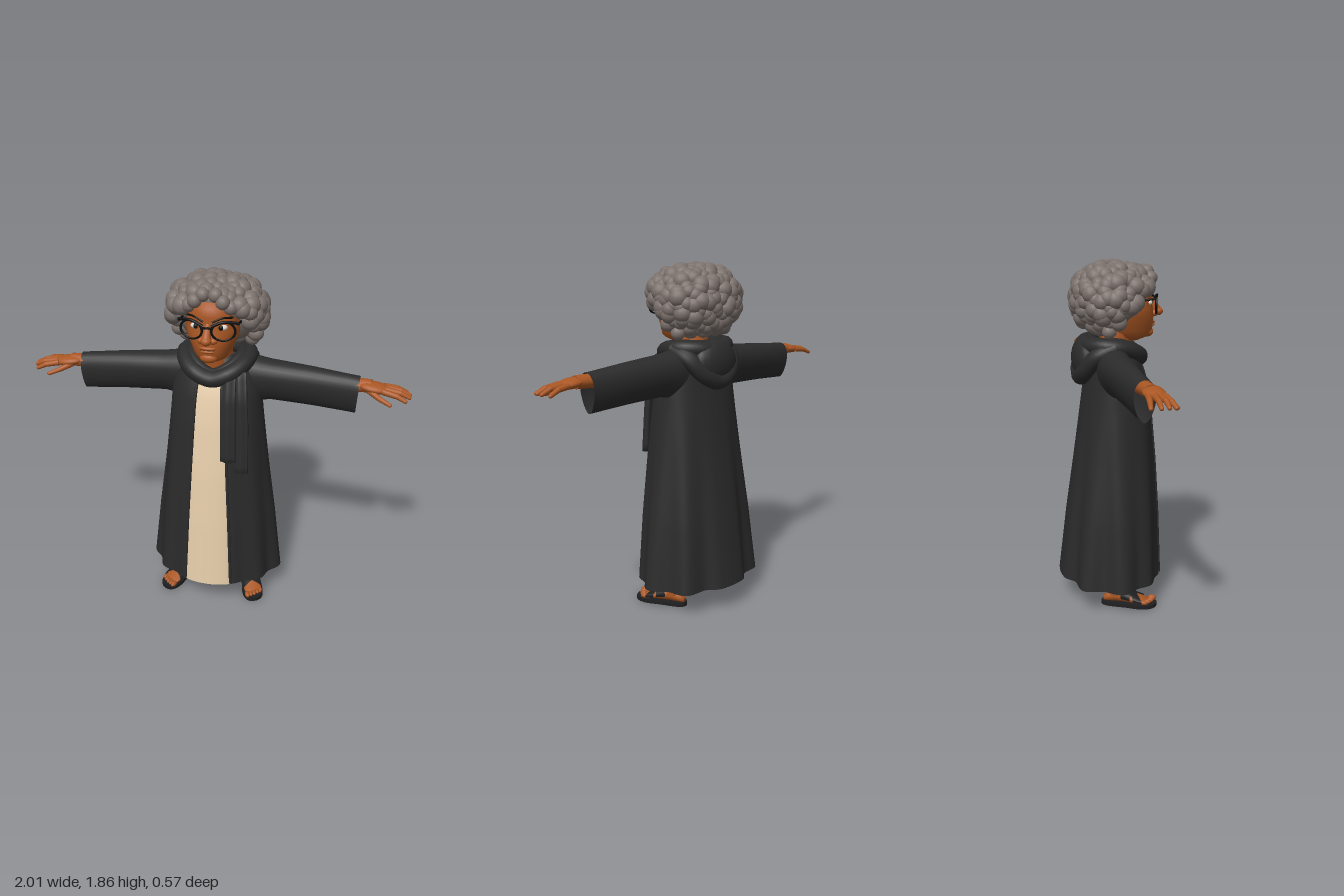
import * as THREE from 'three';
import { mergeGeometries } from 'three/addons/utils/BufferGeometryUtils.js';

const mat = (name, color) => new THREE.MeshStandardMaterial({ name, color, side: THREE.DoubleSide });
const V = (x, y, z) => new THREE.Vector3(x, y, z);
const spow = (v, p) => Math.sign(v) * Math.abs(v) ** p;

// Look-up in rows sorted by their first value, linear or eased
function sample(rows, t, eased = false) {
  let i = 0;
  while (i < rows.length - 2 && t > rows[i + 1][0]) i++;
  const a = rows[i], b = rows[i + 1];
  let k = THREE.MathUtils.clamp((t - a[0]) / (b[0] - a[0]), 0, 1);
  if (eased) k = k * k * (3 - 2 * k);
  return a.map((v, j) => v + (b[j] - v) * k);
}

// Skin a surface over rows of points, optionally closed around and capped
function loft(rows, closed = true, capped = false) {
  const n = rows[0].length, pos = [], idx = [];
  rows.forEach(r => r.forEach(p => pos.push(p.x, p.y, p.z)));
  const m = closed ? n : n - 1;
  for (let i = 0; i < rows.length - 1; i++) for (let j = 0; j < m; j++) {
    const a = i * n + j, b = i * n + (j + 1) % n;
    idx.push(a, b, a + n, b, b + n, a + n);
  }
  if (capped) [0, rows.length - 1].forEach((r, e) => {
    const c = rows[r].reduce((s, p) => s.add(p), V(0, 0, 0)).divideScalar(n);
    const k = pos.length / 3;
    pos.push(c.x, c.y, c.z);
    for (let j = 0; j < n; j++) {
      const a = r * n + j, b = r * n + (j + 1) % n;
      idx.push(...(e ? [a, b, k] : [b, a, k]));
    }
  });
  const g = new THREE.BufferGeometry();
  g.setAttribute('position', new THREE.Float32BufferAttribute(pos, 3));
  g.setIndex(idx);
  g.computeVertexNormals();
  return g;
}
const ring = (n, f) => Array.from({ length: n }, (_, j) => f(j / n * Math.PI * 2));
const steps = (a, b, n) => Array.from({ length: n + 1 }, (_, i) => a + (b - a) * i / n);

export function createModel() {
  const model = new THREE.Group();
  const skin = mat('skin', 0xaa5724), brown = mat('darkBrown', 0x55290f), grey = mat('hairGrey', 0x7b716c);
  const black = mat('robeBlack', 0x2b2b2b), beige = mat('dressBeige', 0xe8cfac), leather = mat('sandalBlack', 0x1f1f21);
  const white = mat('eyeWhite', 0xe0d8cc), dark = mat('glassesBlack', 0x0e0d0e);

  const add = (name, geo, m, parent = model) => {
    const o = new THREE.Mesh(geo, m);
    o.name = name;
    parent.add(o);
    return o;
  };
  const ball = (name, m, c, s, parent) => {
    const o = add(name, new THREE.SphereGeometry(1, 20, 14), m, parent);
    o.position.set(...c);
    o.scale.set(...s);
    return o;
  };
  const tube = (name, pts, r, m, closed = false) =>
    add(name, new THREE.TubeGeometry(new THREE.CatmullRomCurve3(pts, closed), 48, r, 12, closed), m);
  const limb = (name, a, b, r0, r1, m, parent) => {
    const d = b.clone().sub(a);
    const o = add(name, new THREE.CylinderGeometry(r1, r0, d.length(), 14), m, parent);
    o.position.copy(a).add(b).multiplyScalar(0.5);
    o.quaternion.setFromUnitVectors(V(0, 1, 0), d.normalize());
    return o;
  };

  // Robe: y, half width, front z, back z, half opening
  const R = [[0.135, 0.365, 0.265, -0.277, 0.13], [0.5, 0.325, 0.252, -0.236, 0.115], [0.8, 0.285, 0.235, -0.195, 0.1],
    [1.1, 0.25, 0.208, -0.155, 0.085], [1.25, 0.235, 0.182, -0.135, 0.078], [1.35, 0.21, 0.145, -0.13, 0.07],
    [1.41, 0.15, 0.11, -0.12, 0.06], [1.44, 0.1, 0.08, -0.1, 0.05]];
  // Soft folds growing towards the hem: angle from the front in degrees, amount
  const folds = [[0, 0], [18, 0], [34, -0.07], [50, -0.03], [70, -0.09], [90, 0.025], [110, -0.09], [134, 0.03],
    [153, -0.1], [170, 0.02], [180, 0.03]];
  const robePoint = (y, th) => {
    const [, a, zf, zb] = sample(R, y);
    const deg = Math.abs(Math.atan2(Math.sin(th), Math.cos(th))) * 180 / Math.PI;
    const fold = 1 + Math.max(0, 1 - (y - 0.135) / 1.05) * sample(folds, deg, true)[1];
    const c = spow(Math.cos(th), 0.9);
    return V(a * fold * spow(Math.sin(th), 0.9), y, c * fold * (c > 0 ? zf : -zb));
  };
  const openAngle = y => {
    const r = sample(R, y);
    return Math.asin((r[4] / r[1]) ** (1 / 0.9));
  };
  add('robe', loft(steps(0.135, 1.44, 36).map(y => {
    const o = openAngle(y);
    return steps(o, Math.PI * 2 - o, 120).map(t => robePoint(y, t));
  }), false), black);
  for (const s of [1, -1])
    tube('robeEdge', steps(0.142, 1.4, 14).map(y => robePoint(y, s * openAngle(y))), 0.008, black);

  // Pale dress showing through the opening
  add('dressPanel', loft(steps(0.135, 1.38, 24).map(y => {
    const o = openAngle(y) * 1.08;
    return steps(-o, o, 16).map(t => {
      const p = robePoint(y, t);
      p.z += -0.01 + 0.028 * Math.max(0, 1 - y / 1.2) * Math.cos(t / o * Math.PI / 2) ** 0.5;
      return p;
    });
  }), false), beige);

  // Wrapped scarf, with a hood lying on the back
  const mirrored = h => [...h, ...h.slice(1, -1).reverse().map(([x, y, z]) => [-x, y, z])].map(p => V(...p));
  tube('scarfRoll', mirrored([[0, 1.338, 0.15], [0.095, 1.37, 0.135], [0.16, 1.412, 0.05], [0.16, 1.422, -0.05],
    [0.09, 1.42, -0.12], [0, 1.41, -0.14]]), 0.044, black, true);
  tube('scarfInnerRoll', mirrored([[0, 1.355, 0.125], [0.08, 1.39, 0.105], [0.13, 1.43, 0.03], [0.115, 1.435, -0.06],
    [0, 1.43, -0.1]]), 0.031, black, true);
  tube('hoodEdge', [[0.17, 1.42, 0], [0.155, 1.37, -0.1], [0.09, 1.29, -0.15], [0, 1.25, -0.16],
    [-0.09, 1.29, -0.15], [-0.155, 1.37, -0.1], [-0.17, 1.42, 0]].map(p => V(...p)), 0.047, black);
  ball('hoodPouch', black, [0, 1.345, -0.135], [0.15, 0.12, 0.072]);
  // Hanging scarf ends
  for (const [name, w, path] of [
    ['scarfEndInner', 0.04, [[0.91, 0.105, 0.224], [1.1, 0.1, 0.21], [1.25, 0.095, 0.19], [1.37, 0.09, 0.145]]],
    ['scarfEndOuter', 0.038, [[0.84, 0.17, 0.2], [1.1, 0.165, 0.183], [1.25, 0.155, 0.17], [1.38, 0.14, 0.12]]]])
    add(name, loft(steps(path[0][0], path[3][0], 14).map(y => {
      const [, x, z] = sample(path, y);
      return ring(24, t => V(x + w * Math.cos(t), y, z + 0.019 * spow(Math.sin(t), 0.6) + 0.004 * Math.cos(t * 4)));
    }), true, true), black);

  // Arms: sleeve rows hold x, top y, bottom y, half depth, centre z
  const S = [[0.1, 1.435, 1.12, 0.085, -0.015], [0.2, 1.417, 1.16, 0.087, -0.015], [0.27, 1.404, 1.183, 0.08, -0.014],
    [0.5, 1.386, 1.175, 0.066, -0.004], [0.735, 1.363, 1.16, 0.052, 0.01]];
  for (const s of [1, -1]) {
    const arm = new THREE.Group();
    arm.name = s > 0 ? 'leftArm' : 'rightArm';
    model.add(arm);
    add('sleeve', loft(steps(0.1, 0.735, 14).map(x => {
      const [, t, b, d, zc] = sample(S, x);
      return ring(32, a => {
        const u = Math.sin(a);
        return V(s * (x + (x > 0.7 ? 0.006 * u : 0)), (t + b) / 2 + u * (t - b) / 2,
          zc + d * Math.cos(a) * (1 + 0.25 * u));
      });
    })), black, arm);
    const P = (x, y, z) => V(s * x, y, z);
    limb('forearm', P(0.5, 1.315, 0), P(0.8, 1.322, 0.022), 0.042, 0.033, skin, arm).scale.z = 1.15;
    const palm = ball('palm', skin, [s * 0.815, 1.32, 0.03], [0.085, 0.026, 0.053], arm);
    palm.rotation.z = -s * 0.12;
    const fingers = [[[0.86, 1.315, -0.005], [0.925, 1.308, -0.016], [0.975, 1.287, -0.024]],
      [[0.87, 1.318, 0.02], [0.945, 1.31, 0.019], [0.993, 1.29, 0.018]],
      [[0.87, 1.318, 0.045], [0.945, 1.31, 0.052], [0.99, 1.29, 0.054]],
      [[0.86, 1.315, 0.066], [0.93, 1.303, 0.081], [0.972, 1.284, 0.09]],
      [[0.79, 1.31, 0.055], [0.845, 1.287, 0.092], [0.9, 1.268, 0.117]]];
    fingers.forEach((f, i) => {
      const n = i === 4 ? 'thumb' : 'finger', [a, b, c] = f.map(p => P(...p));
      limb(n, a, b, 0.0165, 0.0135, skin, arm);
      limb(n, b, c, 0.0135, 0.01, skin, arm);
      ball(n + 'Joint', skin, b.toArray(), [0.0136, 0.0136, 0.0136], arm);
      ball(n + 'Tip', skin, c.toArray(), [0.0102, 0.01, 0.01], arm);
    });
  }

  // Head: y, half width, front z, back z
  const H = [[1.435, 0.04, 0.15, 0.04], [1.458, 0.078, 0.21, 0], [1.49, 0.098, 0.226, -0.03], [1.53, 0.113, 0.232, -0.05],
    [1.57, 0.131, 0.231, -0.05], [1.61, 0.138, 0.226, -0.05], [1.65, 0.135, 0.218, -0.05], [1.69, 0.134, 0.225, -0.05],
    [1.73, 0.124, 0.214, -0.04], [1.77, 0.1, 0.185, -0.02], [1.79, 0.04, 0.11, 0.02]];
  add('head', loft(H.map(([y, w, f, b]) =>
    ring(36, t => V(w * spow(Math.sin(t), 0.95), y, (f + b) / 2 + (f - b) / 2 * Math.cos(t)))), true, true), skin);
  limb('neck', V(0, 1.3, 0), V(0, 1.54, 0.045), 0.088, 0.082, skin);
  ball('chin', skin, [0, 1.478, 0.204], [0.045, 0.028, 0.03]);
  limb('noseBridge', V(0, 1.655, 0.215), V(0, 1.59, 0.255), 0.014, 0.024, skin);
  ball('noseTip', skin, [0, 1.584, 0.258], [0.028, 0.023, 0.029]);
  ball('upperLip', skin, [0, 1.534, 0.224], [0.042, 0.01, 0.016]);
  ball('mouthLine', brown, [0, 1.526, 0.228], [0.04, 0.0025, 0.011]);
  ball('lowerLip', skin, [0, 1.517, 0.224], [0.038, 0.01, 0.017]);

  // Paired features and glasses
  for (const s of [1, -1]) {
    ball('nostril', skin, [s * 0.03, 1.578, 0.234], [0.022, 0.017, 0.02]);
    ball('ear', skin, [s * 0.143, 1.59, 0.045], [0.016, 0.042, 0.026]);
    ball('eye', white, [s * 0.065, 1.637, 0.191], [0.028, 0.016, 0.021]);
    ball('iris', dark, [s * 0.063, 1.638, 0.207], [0.0125, 0.013, 0.008]);
    tube('brow', [V(s * 0.022, 1.668, 0.221), V(s * 0.07, 1.688, 0.207), V(s * 0.115, 1.682, 0.168)], 0.005, dark);
    const rim = add('glassesRim', new THREE.TorusGeometry(0.058, 0.006, 8, 36), dark);
    rim.position.set(s * 0.08, 1.63, 0.23);
    rim.scale.y = 0.82;
    rim.rotation.y = s * 0.25;
    tube('glassesTopBar', [V(s * 0.022, 1.655, 0.243), V(s * 0.08, 1.677, 0.232), V(s * 0.15, 1.668, 0.203)], 0.0075, dark);
    limb('glassesTemple', V(s * 0.148, 1.663, 0.205), V(s * 0.15, 1.645, 0.04), 0.006, 0.005, dark);
  }
  tube('glassesBridge', [V(-0.024, 1.642, 0.242), V(0, 1.65, 0.252), V(0.024, 1.642, 0.242)], 0.006, dark);

  // Curly hair: overlapping curls spread over a rounded box, leaving the face free
  ball('hairCore', grey, [0, 1.658, -0.03], [0.238, 0.178, 0.166]);
  ball('hairCrown', grey, [0, 1.762, 0.06], [0.16, 0.068, 0.135]);
  const curls = [], N = 235;
  for (let i = 0; i < N; i++) {
    const dy = 1 - 2 * (i + 0.5) / N, q = Math.sqrt(1 - dy * dy), a = i * 2.39996 + 0.2 * Math.sin(i * 3.1);
    const dx = q * Math.cos(a), dz = q * Math.sin(a), p = 2.25;
    const k = (1 + 0.015 * Math.sin(i * 5.7)) / (Math.abs(dx) ** p + Math.abs(dy) ** p + Math.abs(dz) ** p) ** (1 / p);
    const r = 0.044 + 0.007 * Math.sin(i * 7.3);
    const x = 0.227 * k * dx, y = 1.655 + 0.156 * k * dy;
    let z = 0.002 + 0.177 * k * dz;
    if (z > 0 && y > 1.7) z += 0.028 * Math.min(1, z / 0.1);
    if (y < 1.77 && z > 0.1 + (y - 1.64) * 1.15) continue;
    if (y < 1.785 - 0.5 * Math.abs(x) && Math.abs(x) < 0.13 && z > 0.08) continue;
    curls.push(new THREE.SphereGeometry(r, 14, 10).translate(x, y, z));
  }
  // Swept locks framing the forehead, parted in the middle
  for (const s of [1, -1]) for (const [x, y, z, r] of [[0.032, 1.795, 0.19, 0.036], [0.07, 1.765, 0.2, 0.036],
    [0.105, 1.735, 0.18, 0.036], [0.14, 1.705, 0.14, 0.037], [0.17, 1.665, 0.1, 0.04], [0.195, 1.61, 0.05, 0.04],
    [0.2, 1.55, 0.005, 0.042], [0.175, 1.505, -0.04, 0.038]])
    curls.push(new THREE.SphereGeometry(r, 14, 10).translate(s * x, y, z));
  add('hairCurls', mergeGeometries(curls), grey);

  // Feet: z, half width, height
  const F = [[-0.072, 0.018, 0.045], [-0.05, 0.034, 0.075], [0, 0.039, 0.1], [0.05, 0.043, 0.088], [0.1, 0.05, 0.062],
    [0.15, 0.05, 0.042], [0.175, 0.042, 0.032]];
  const sole = new THREE.Shape();
  sole.moveTo(0, -0.085);
  sole.bezierCurveTo(0.06, -0.085, 0.038, 0.02, 0.055, 0.09);
  sole.bezierCurveTo(0.07, 0.17, 0.04, 0.218, -0.01, 0.218);
  sole.bezierCurveTo(-0.06, 0.218, -0.065, 0.15, -0.054, 0.09);
  sole.bezierCurveTo(-0.038, 0.02, -0.06, -0.085, 0, -0.085);
  for (const s of [1, -1]) {
    const foot = new THREE.Group();
    foot.name = s > 0 ? 'leftFoot' : 'rightFoot';
    foot.position.x = s * 0.188;
    foot.rotation.y = s * 0.36;
    model.add(foot);
    const base = add('sandalSole', new THREE.ExtrudeGeometry(sole, { depth: 0.02, bevelEnabled: false, curveSegments: 16 }), leather, foot);
    base.rotation.x = Math.PI / 2;
    base.position.y = 0.02;
    base.scale.x = s;
    add('foot', loft(F.map(([z, w, h]) => ring(24, t =>
      V(w * Math.cos(t), 0.018 + (h - 0.018) * (0.5 + 0.5 * Math.sin(t)), z))), true, true), skin, foot);
    for (let i = 0; i < 5; i++)
      ball('toe', skin, [s * (-0.04 + i * 0.02), 0.031, 0.19 - i * i * 0.0022], i ? [0.011, 0.012, 0.02] : [0.014, 0.015, 0.024], foot);
    for (const k of [0.034, -0.034])
      add('sandalStrap', loft([-0.025, -0.008, 0.008, 0.025].map(d => steps(-0.35, Math.PI + 0.35, 20).map(t => {
        const z = 0.085 + d + k * Math.cos(t), [, w, h] = sample(F, z);
        return V((w + 0.005) * Math.cos(t), 0.018 + (h - 0.01) * (0.5 + 0.5 * Math.sin(t)), z);
      })), false), leather, foot);
    // Leg with a dark band above the ankle
    limb('leg', V(s * 0.188, 0.06, -0.005), V(s * 0.165, 0.6, -0.01), 0.042, 0.06, skin);
    limb('legBand', V(s * 0.182, 0.2, -0.006), V(s * 0.18, 0.255, -0.007), 0.049, 0.051, brown);
  }
  return model;
}
